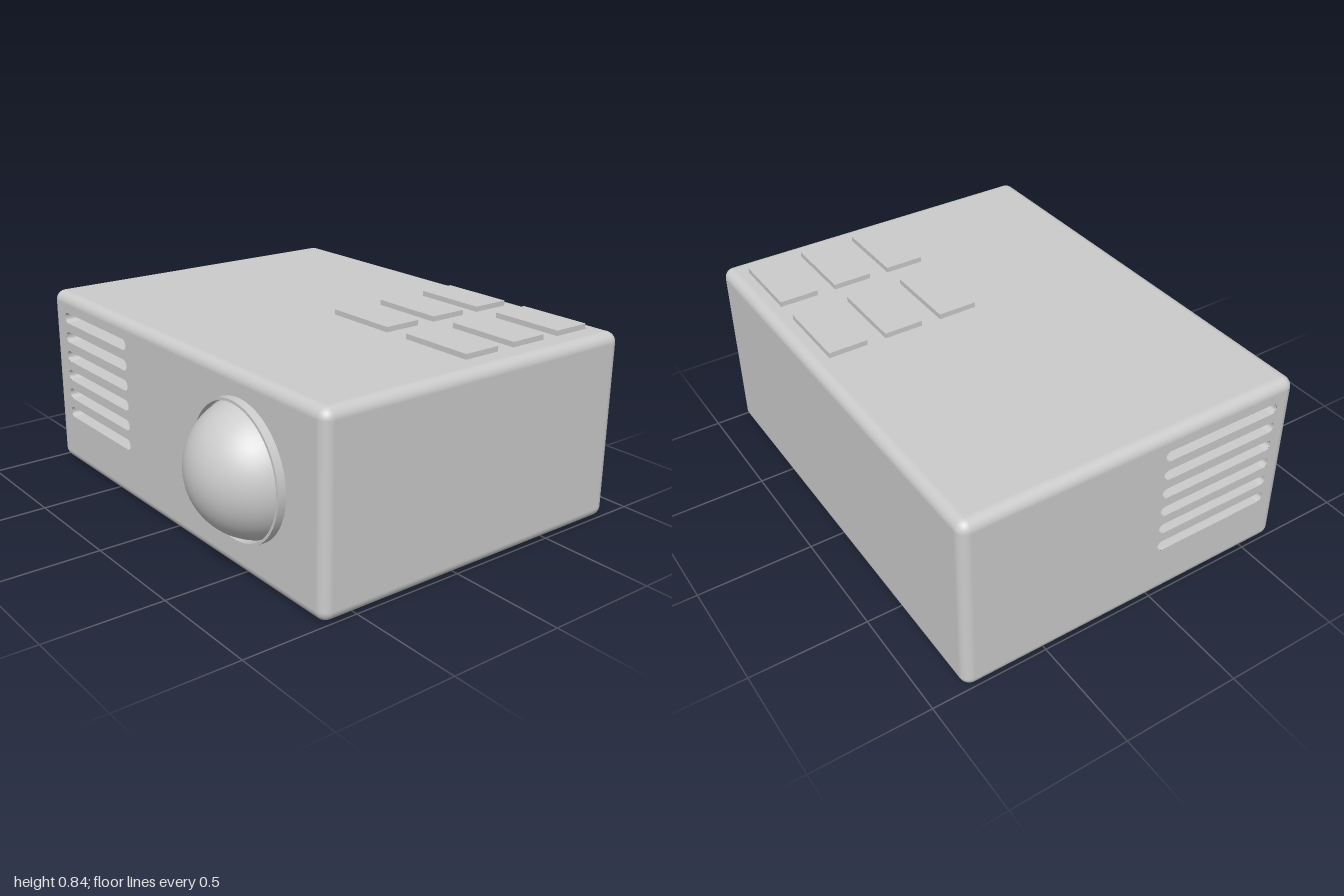
import * as THREE from 'three';
import { toCreasedNormals } from 'three/addons/utils/BufferGeometryUtils.js';
import { RoundedBoxGeometry } from 'three/addons/geometries/RoundedBoxGeometry.js';

const H = 0.813, BACK = -0.86, FRONT = 0.655, EDGE = 0.045;
const SLOT_R = 0.024;
const slotRows = Array.from({ length: 6 }, (_, i) => 0.254 + i * 0.0903);
const frontSlot = [-0.89, -0.34]; // x range of the front slots
const sideSlot = [0.02, 0.57]; // z range of the side slots

const grey = new THREE.MeshStandardMaterial({ color: 0xcccccc });
const greyDouble = new THREE.MeshStandardMaterial({ color: 0xcccccc, side: THREE.DoubleSide });

function add(parent, name, geometry, material = grey) {
  const mesh = new THREE.Mesh(geometry, material);
  mesh.name = name;
  parent.add(mesh);
  return mesh;
}

// Rounded case without the flat areas of the front and the slotted side
function caseGeometry() {
  const box = new RoundedBoxGeometry(2, H, FRONT - BACK, 4, EDGE);
  box.translate(0, H / 2, (FRONT + BACK) / 2);
  const p = box.attributes.position, n = box.attributes.normal;
  const pos = [], nor = [];
  for (let i = 0; i < p.count; i += 3) {
    const tri = [i, i + 1, i + 2];
    if (tri.every(k => p.getZ(k) > FRONT - 1e-4) || tri.every(k => p.getX(k) < -1 + 1e-4)) continue;
    for (const k of tri) {
      pos.push(p.getX(k), p.getY(k), p.getZ(k));
      nor.push(n.getX(k), n.getY(k), n.getZ(k));
    }
  }
  const g = new THREE.BufferGeometry();
  g.setAttribute('position', new THREE.Float32BufferAttribute(pos, 3));
  g.setAttribute('normal', new THREE.Float32BufferAttribute(nor, 3));
  return g;
}

// Flat panel from u0 to u1 with a column of round-ended slots
function slottedPanel(u0, u1, [a, b]) {
  const shape = new THREE.Shape([
    new THREE.Vector2(u0, EDGE), new THREE.Vector2(u1, EDGE),
    new THREE.Vector2(u1, H - EDGE), new THREE.Vector2(u0, H - EDGE),
  ]);
  for (const y of slotRows) {
    const hole = new THREE.Path();
    hole.absarc(b - SLOT_R, y, SLOT_R, -Math.PI / 2, Math.PI / 2);
    hole.absarc(a + SLOT_R, y, SLOT_R, Math.PI / 2, Math.PI * 1.5);
    hole.closePath();
    shape.holes.push(hole);
  }
  return new THREE.ShapeGeometry(shape, 10);
}

// Plan of a slot cavity: the front and side slots run into each other.
// Round ends are drawn in by e, flat bottoms stay upright.
function cavityPlan(e) {
  const [x0, x1] = frontSlot, [z0, z1] = sideSlot;
  const bottomX = -0.56, bottomZ = 0.21;
  return {
    outer: [[x0 + e, FRONT], [x0 + e, z1 - e], [-1, z1 - e]],
    inner: [[-1, z0 + e], [bottomX, z0 + e], [bottomX, bottomZ], [x1 - e, bottomZ], [x1 - e, FRONT]],
  };
}

function cavityGeometry() {
  const STEPS = 10, pos = [];
  const rows = Array.from({ length: STEPS + 1 }, (_, i) => {
    const t = -Math.PI / 2 + Math.PI * i / STEPS;
    return { y: SLOT_R * Math.sin(t), plan: cavityPlan(SLOT_R * (1 - Math.cos(t))) };
  });
  // walls
  for (let i = 0; i < STEPS; i++) {
    for (const key of ['outer', 'inner']) {
      const lo = rows[i].plan[key], hi = rows[i + 1].plan[key];
      for (let j = 0; j + 1 < lo.length; j++) {
        const at = (q, r) => [q[0], r.y, q[1]];
        const a = at(lo[j], rows[i]), b = at(lo[j + 1], rows[i]);
        const c = at(hi[j + 1], rows[i + 1]), d = at(hi[j], rows[i + 1]);
        pos.push(...a, ...c, ...b, ...a, ...d, ...c);
      }
    }
  }
  // floor and roof
  const plan = cavityPlan(SLOT_R);
  const pts = [...plan.outer, ...plan.inner].map(q => new THREE.Vector2(...q));
  for (const tri of THREE.ShapeUtils.triangulateShape(pts, [])) {
    const [a, b, c] = tri.map(k => pts[k]);
    const up = (b.x - a.x) * (c.y - a.y) - (b.y - a.y) * (c.x - a.x) < 0;
    const order = up ? [a, b, c] : [a, c, b];
    for (const v of order) pos.push(v.x, -SLOT_R, v.y);
    for (const v of order.reverse()) pos.push(v.x, SLOT_R, v.y);
  }
  const g = new THREE.BufferGeometry();
  g.setAttribute('position', new THREE.Float32BufferAttribute(pos, 3));
  return toCreasedNormals(g, 0.6);
}

export function createModel() {
  const model = new THREE.Group();
  model.name = 'projector';

  // Case
  const body = new THREE.Group();
  body.name = 'case';
  model.add(body);
  add(body, 'caseShell', caseGeometry());
  add(body, 'frontPanel', slottedPanel(-1 + EDGE, 1 - EDGE, frontSlot)).position.z = FRONT;
  const side = add(body, 'sidePanel', slottedPanel(BACK + EDGE, FRONT - EDGE, sideSlot));
  side.rotation.y = -Math.PI / 2;
  side.position.x = -1;

  // Vent slots
  const cavity = cavityGeometry();
  for (const y of slotRows) add(body, 'ventSlot', cavity, greyDouble).position.y = y;

  // Lens with its thin rim
  const lens = new THREE.Group();
  lens.name = 'lens';
  lens.position.set(0.5, 0.431, 0);
  model.add(lens);
  const ring = new THREE.Shape().absarc(0, 0, 0.284, 0, Math.PI * 2);
  ring.holes.push(new THREE.Path().absarc(0, 0, 0.273, 0, Math.PI * 2));
  const rim = new THREE.ExtrudeGeometry(ring, { depth: 0.05, bevelEnabled: false, curveSegments: 64 });
  add(lens, 'lensRim', toCreasedNormals(rim, 0.5)).position.z = 0.64;
  const dome = new THREE.SphereGeometry(0.28, 64, 24, 0, Math.PI * 2, 0, Math.PI / 2);
  dome.rotateX(Math.PI / 2);
  add(lens, 'lensDome', dome).position.z = 0.58;

  // Buttons
  const button = new THREE.BoxGeometry(0.333, 0.045, 0.169);
  for (const x of [0.275, 0.722]) {
    for (const z of [-0.692, -0.442, -0.188]) {
      add(model, 'button', button).position.set(x, H, z);
    }
  }
  return model;
}
